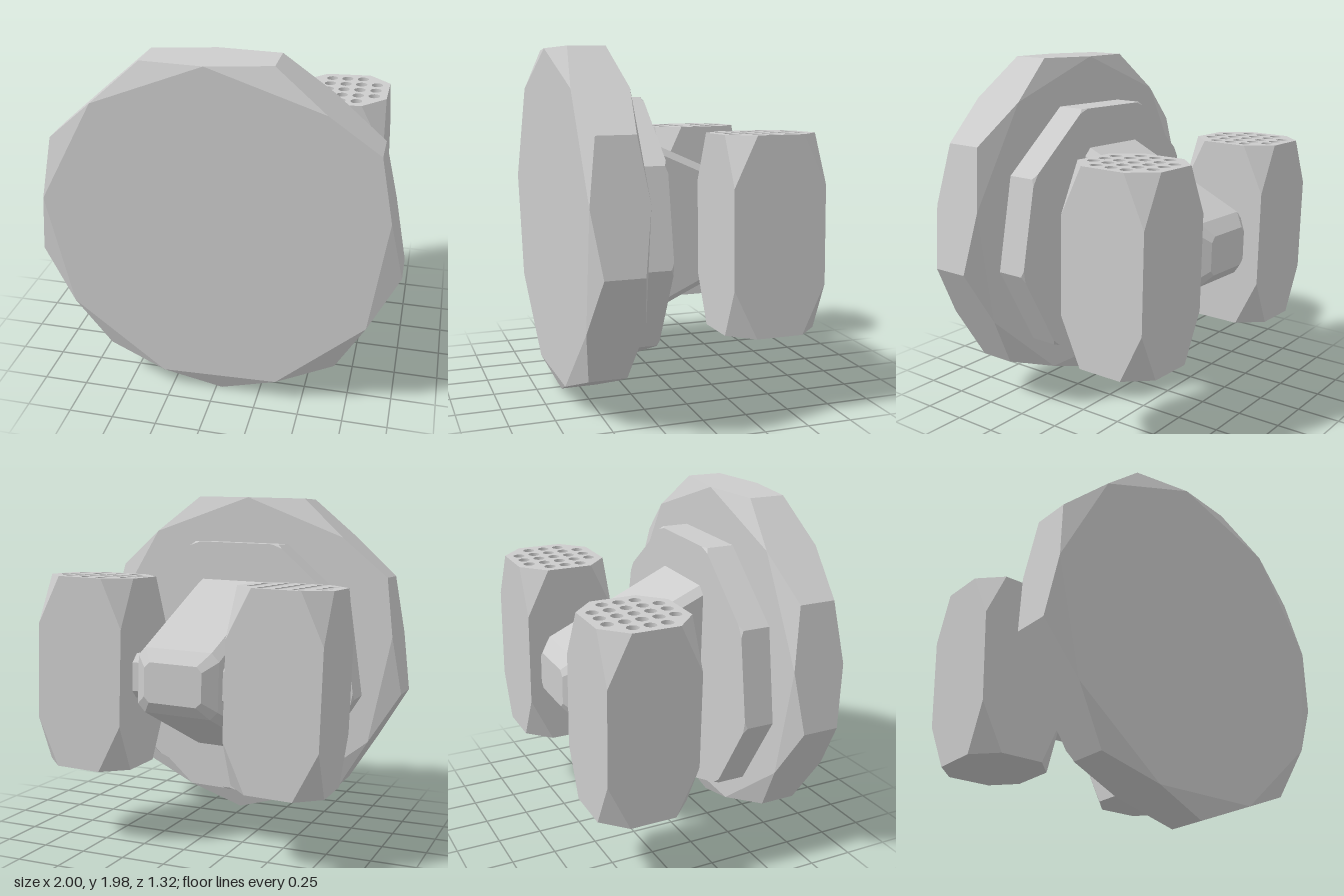
import * as THREE from 'three';
import { ConvexGeometry } from 'three/addons/geometries/ConvexGeometry.js';

const grey = new THREE.MeshStandardMaterial({ color: 0xcccccc, flatShading: true });
const thin = new THREE.MeshStandardMaterial({ color: 0xcccccc, side: THREE.DoubleSide });
const V = (x, y, z) => new THREE.Vector3(x, y, z);

function add(parent, name, geometry, material = grey) {
  const mesh = new THREE.Mesh(geometry, material);
  mesh.name = name;
  parent.add(mesh);
  return mesh;
}

// Nine-sided plate whose corners are cut: cut = share of each edge removed, drop = depth of the cut
function plate(radius, z0, z1, cut, drop) {
  const points = [];
  const corner = (i) => {
    const a = -Math.PI / 2 + (i * Math.PI * 2) / 9;
    return V(radius * Math.cos(a), radius * Math.sin(a), 0);
  };
  for (let i = 0; i < 9; i++) {
    const a = corner(i), b = corner(i + 1);
    for (const [z, s] of [[z0, 1], [z1, -1]]) {
      points.push(a.clone().setZ(z + s * drop));
      points.push(a.clone().lerp(b, cut).setZ(z), b.clone().lerp(a, cut).setZ(z));
    }
  }
  return new ConvexGeometry(points);
}

// Rectangle with cut corners, as [u, v] pairs
function octagon(w, h, c) {
  const points = [];
  for (const u of [-1, 1]) for (const v of [-1, 1]) {
    points.push([u * w, v * (h - c)], [u * (w - c), v * h]);
  }
  return points;
}

// Canister: a box with its eight corners cut and a grid of blind holes in the top
const W = 0.2625, H = 0.5375, CUT = 0.13, DROP = 0.27, HOLE = 0.034, DEPTH = 0.5, STEP = 0.094;

function canisterBody() {
  const points = [];
  for (const x of [-1, 1]) for (const y of [-1, 1]) for (const z of [-1, 1]) {
    points.push(V(x * (W - CUT), y * H, z * W), V(x * W, y * H, z * (W - CUT)),
      V(x * W, y * (H - DROP), z * W));
  }
  // Leave the top open for the perforated lid
  const p = new ConvexGeometry(points).getAttribute('position');
  const kept = [];
  for (let i = 0; i < p.count; i += 3) {
    if (Math.min(p.getY(i), p.getY(i + 1), p.getY(i + 2)) > H - 0.001) continue;
    for (let k = i; k < i + 3; k++) kept.push(p.getX(k), p.getY(k), p.getZ(k));
  }
  const body = new THREE.BufferGeometry();
  body.setAttribute('position', new THREE.Float32BufferAttribute(kept, 3));
  body.computeVertexNormals();
  return body;
}

function canister(name) {
  const group = new THREE.Group();
  group.name = name;
  add(group, 'canisterBody', canisterBody());

  const c = W - CUT;
  const lid = new THREE.Shape([[-c, -W], [c, -W], [W, -c], [W, c], [c, W], [-c, W], [-W, c], [-W, -c]]
    .map(([x, y]) => new THREE.Vector2(x, y)));
  const wall = new THREE.CylinderGeometry(HOLE, HOLE, DEPTH, 12, 1, true);
  const floor = new THREE.CircleGeometry(HOLE, 12).rotateX(-Math.PI / 2);
  for (let i = -2; i <= 2; i++) for (let j = -2; j <= 2; j++) {
    if (Math.abs(i) === 2 && Math.abs(j) === 2) continue;
    const x = i * STEP, z = j * STEP;
    const ring = new THREE.Path();
    ring.absarc(x, z, HOLE, 0, Math.PI * 2, true);
    lid.holes.push(ring);
    add(group, 'holeWall', wall, thin).position.set(x, H - DEPTH / 2, z);
    add(group, 'holeFloor', floor, thin).position.set(x, H - DEPTH, z);
  }
  const top = add(group, 'perforatedLid', new THREE.ShapeGeometry(lid, 6).rotateX(-Math.PI / 2));
  top.position.y = H;
  return group;
}

export function createModel() {
  const model = new THREE.Group();
  model.name = 'model';

  // Everything leans by a small roll
  const tilted = new THREE.Group();
  tilted.name = 'assembly';
  tilted.position.y = 1.015;
  tilted.rotation.z = 0.033;
  model.add(tilted);

  // Front disc and the smaller plate behind it
  add(tilted, 'frontDisc', plate(1.015, 0.35, 0.66, 0.5, 0.05));
  add(tilted, 'backPlate', plate(0.787, 0.175, 0.37, 0.07, 0.015)).position.y = -0.06;

  // Tapered beam with chamfered edges and a blunt end
  const sections = [[0.26, 0.525, 0.045, 0.2], [0.24, 0.18, 0.045, -0.575], [0.17, 0.11, 0.03, -0.64]];
  const beam = sections.flatMap(([w, h, c, z]) => octagon(w, h, c).map(([x, y]) => V(x, y, z)));
  add(tilted, 'beam', new ConvexGeometry(beam)).position.set(-0.008, -0.06, 0);

  // Axle through the beam end
  const axle = [-0.5, 0.5].flatMap((x) => octagon(0.125, 0.125, 0.045).map(([z, y]) => V(x, y, z)));
  add(tilted, 'axle', new ConvexGeometry(axle)).position.set(-0.01, -0.06, -0.4);

  // One canister on each side
  for (const [name, side] of [['leftCanister', 1], ['rightCanister', -1]]) {
    const can = canister(name);
    can.position.set(side * 0.57 - 0.01, -0.055, -0.4);
    tilted.add(can);
  }
  return model;
}
